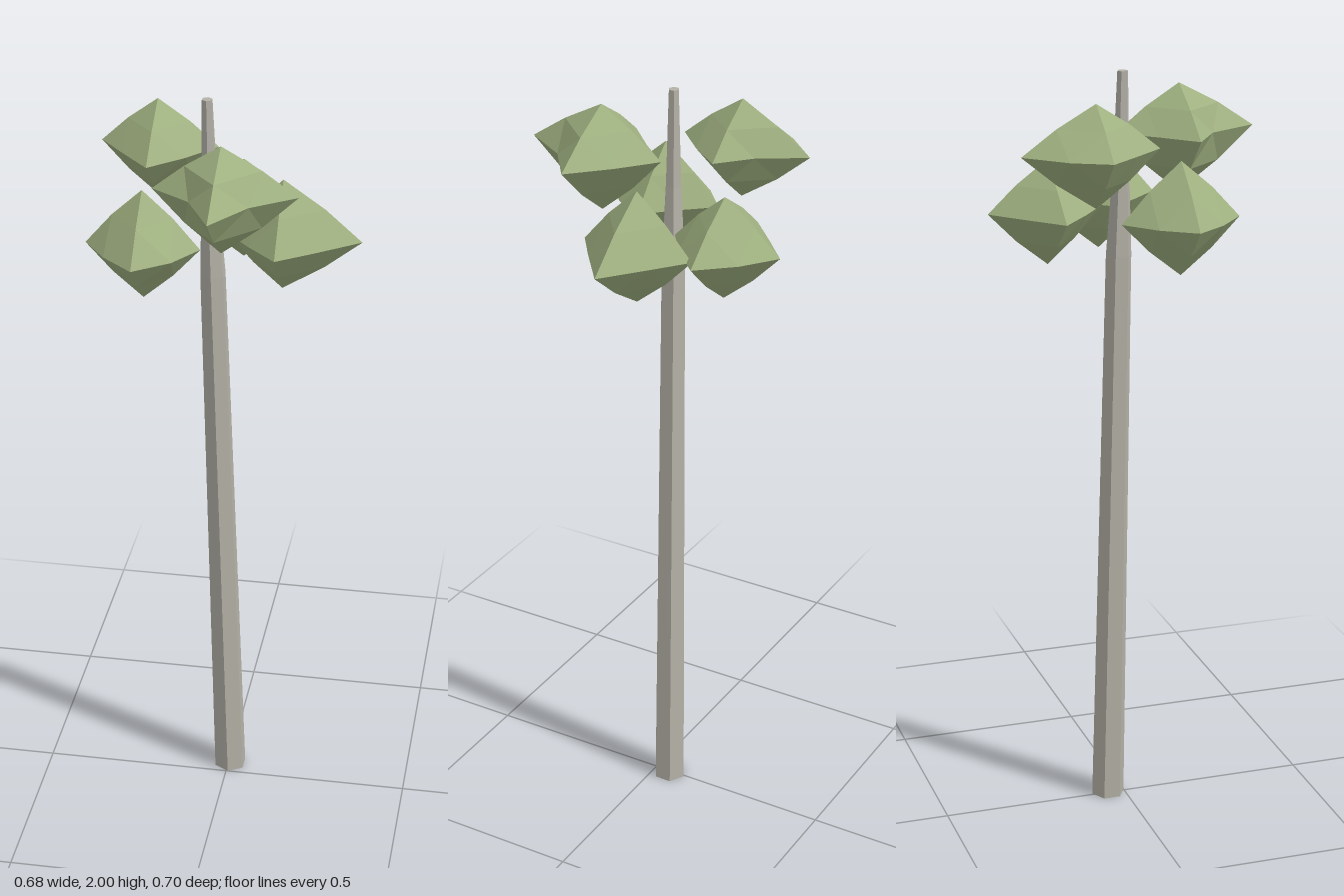
import * as THREE from 'three';

const bark = new THREE.MeshStandardMaterial({ color: 0xb5b2a8, flatShading: true });
const leaf = new THREE.MeshStandardMaterial({ color: 0x9fb080, flatShading: true });

// Leaning six-sided trunk segment between two rings { x, y, z, r }
function trunkSegment(a, b) {
  const h = b.y - a.y;
  const geo = new THREE.CylinderGeometry(b.r, a.r, h, 6);
  const pos = geo.attributes.position;
  for (let i = 0; i < pos.count; i++) {
    const t = pos.getY(i) / h + 0.5;
    pos.setXYZ(i,
      pos.getX(i) + THREE.MathUtils.lerp(a.x, b.x, t),
      THREE.MathUtils.lerp(a.y, b.y, t),
      pos.getZ(i) + THREE.MathUtils.lerp(a.z, b.z, t));
  }
  geo.computeVertexNormals();
  return new THREE.Mesh(geo, bark);
}

// Faceted leaf clump: an irregular octahedron, each of its faces split in four.
// reach: tip distances along +x -x +z -z +y -y
// corner: offsets of the level edge midpoints toward (+x+z) (+x-z) (-x-z) (-x+z)
function clumpGeometry(reach, corner) {
  const [px, nx, pz, nz, up, down] = reach;
  const points = [];
  for (const sx of [1, -1]) for (const sy of [1, -1]) for (const sz of [1, -1]) {
    const X = new THREE.Vector3(sx > 0 ? px : -nx, 0, 0);
    const Y = new THREE.Vector3(0, sy > 0 ? up : -down, 0);
    const Z = new THREE.Vector3(0, 0, sz > 0 ? pz : -nz);
    const XY = X.clone().add(Y).multiplyScalar(0.53);
    const YZ = Y.clone().add(Z).multiplyScalar(0.53);
    const m = corner[sx > 0 ? (sz > 0 ? 0 : 1) : (sz > 0 ? 3 : 2)];
    const ZX = new THREE.Vector3(sx * m, 0, sz * m);
    for (const tri of [[X, XY, ZX], [XY, Y, YZ], [ZX, YZ, Z], [XY, YZ, ZX]]) {
      points.push(...(sx * sy * sz > 0 ? tri : tri.reverse()));
    }
  }
  const geo = new THREE.BufferGeometry().setFromPoints(points);
  geo.computeVertexNormals();
  return geo;
}

export function createModel() {
  const tree = new THREE.Group();
  tree.name = 'tree';

  // Trunk
  const trunk = new THREE.Group();
  trunk.name = 'trunk';
  const rings = [
    { x: 0.005, y: 0, z: -0.045, r: 0.045 },
    { x: -0.038, y: 1.53, z: -0.027, r: 0.034 },
    { x: -0.045, y: 1.75, z: -0.023, r: 0.022 },
    { x: -0.05, y: 2, z: -0.02, r: 0.014 },
  ];
  for (let i = 0; i < rings.length - 1; i++) {
    const part = trunkSegment(rings[i], rings[i + 1]);
    part.name = ['lowerTrunk', 'upperTrunk', 'trunkTip'][i];
    trunk.add(part);
  }
  tree.add(trunk);

  // Leaf clumps: three in the lower tier, two in the upper
  const clumps = [
    { name: 'leftSideLowerClump', at: [0.14, 1.645, -0.025],
      reach: [0.2, 0.14, 0.15, 0.155, 0.155, 0.14], corner: [0.087, 0.088, 0.075, 0.075] },
    { name: 'frontLowerClump', at: [-0.195, 1.645, 0.085],
      reach: [0.145, 0.145, 0.155, 0.155, 0.15, 0.14], corner: [0.088, 0.072, 0.085, 0.083] },
    { name: 'backLowerClump', at: [0.013, 1.645, -0.2],
      reach: [0.17, 0.175, 0.14, 0.155, 0.13, 0.14], corner: [0.082, 0.09, 0.083, 0.08] },
    { name: 'backUpperClump', at: [-0.195, 1.83, -0.135],
      reach: [0.155, 0.145, 0.165, 0.19, 0.12, 0.14], corner: [0.085, 0.073, 0.095, 0.078] },
    { name: 'frontUpperClump', at: [0.013, 1.83, 0.15],
      reach: [0.19, 0.17, 0.2, 0.17, 0.12, 0.16], corner: [0.08, 0.094, 0.082, 0.068] },
  ];
  for (const { name, at, reach, corner } of clumps) {
    const mesh = new THREE.Mesh(clumpGeometry(reach, corner), leaf);
    mesh.name = name;
    mesh.position.set(...at);
    tree.add(mesh);
  }
  return tree;
}
